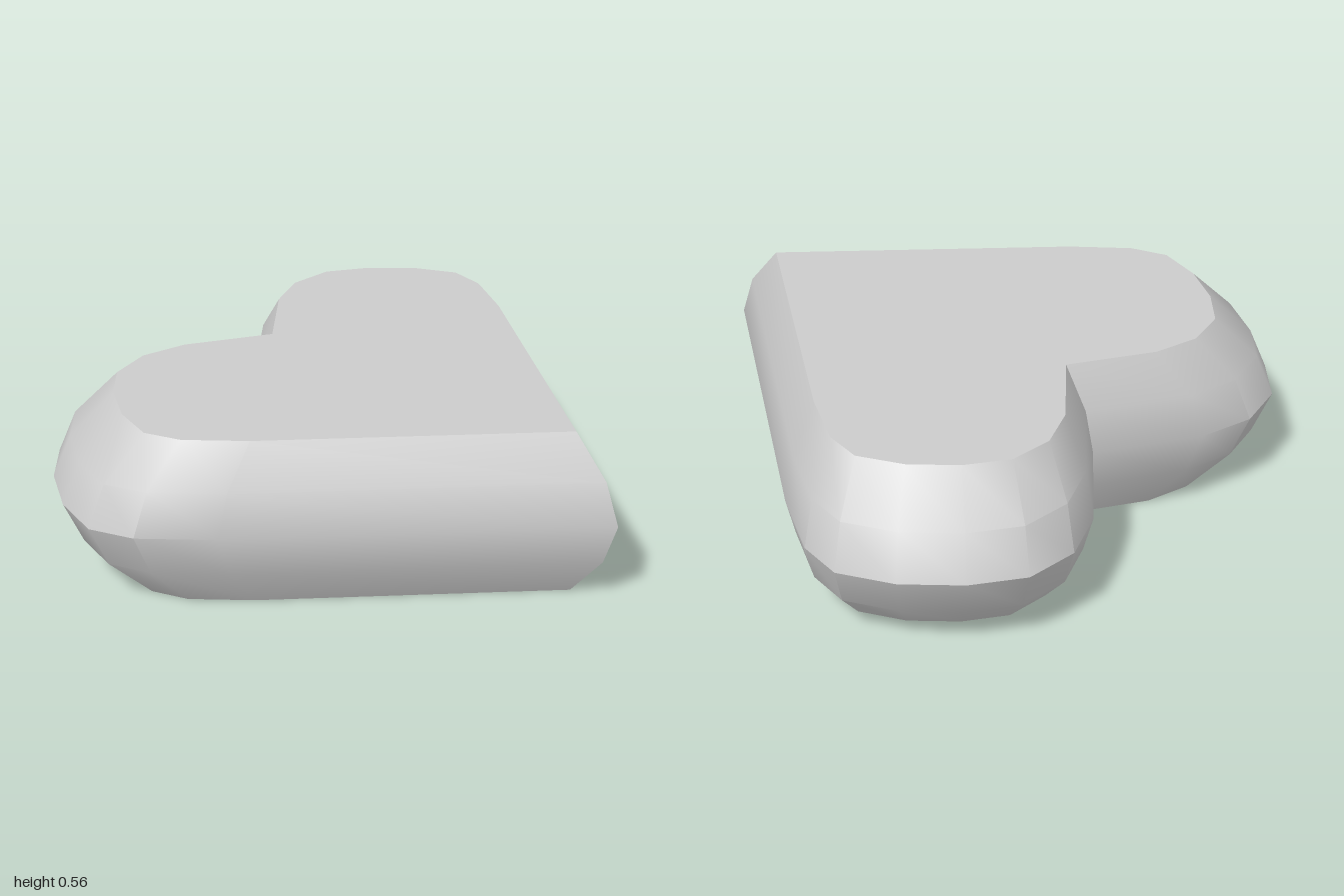
import * as THREE from 'three';
import { toCreasedNormals } from 'three/addons/utils/BufferGeometryUtils.js';

const HEIGHT = 0.56;

// Widest outline of one half, as [x, z], from the notch round the lobe to the tip
const HALF = [
  [0, -0.612], [0.3, -0.827], [0.483, -0.888], [0.664, -0.86], [0.81, -0.742],
  [0.932, -0.58], [1, -0.403], [0.96, -0.252], [0.81, -0.04], [0, 0.885],
];

// Outline scale at each of the five levels, bottom to top
const LEVELS = [0.813, 0.945, 1, 0.945, 0.813];

export function createModel() {
  const group = new THREE.Group();
  group.name = 'heart';

  // Mirror the half outline into a closed heart (shape y is -z)
  const mirrored = HALF.slice(1, -1).reverse().map(([x, z]) => [-x, z]);
  const outline = [...HALF, ...mirrored].map(([x, z]) => new THREE.Vector2(x, -z));

  const geometry = new THREE.ExtrudeGeometry(new THREE.Shape(outline), {
    depth: HEIGHT, steps: LEVELS.length - 1, bevelEnabled: false,
  });
  geometry.rotateX(-Math.PI / 2);

  // Draw the levels in toward the top and bottom to round the sides
  const pos = geometry.attributes.position;
  for (let i = 0; i < pos.count; i++) {
    const level = Math.round((pos.getY(i) / HEIGHT) * (LEVELS.length - 1));
    pos.setX(i, pos.getX(i) * LEVELS[level]);
    pos.setZ(i, pos.getZ(i) * LEVELS[level]);
  }

  const body = new THREE.Mesh(
    toCreasedNormals(geometry, THREE.MathUtils.degToRad(35)),
    new THREE.MeshStandardMaterial({ color: 0xcccccc }),
  );
  body.name = 'heartBody';
  group.add(body);
  return group;
}
